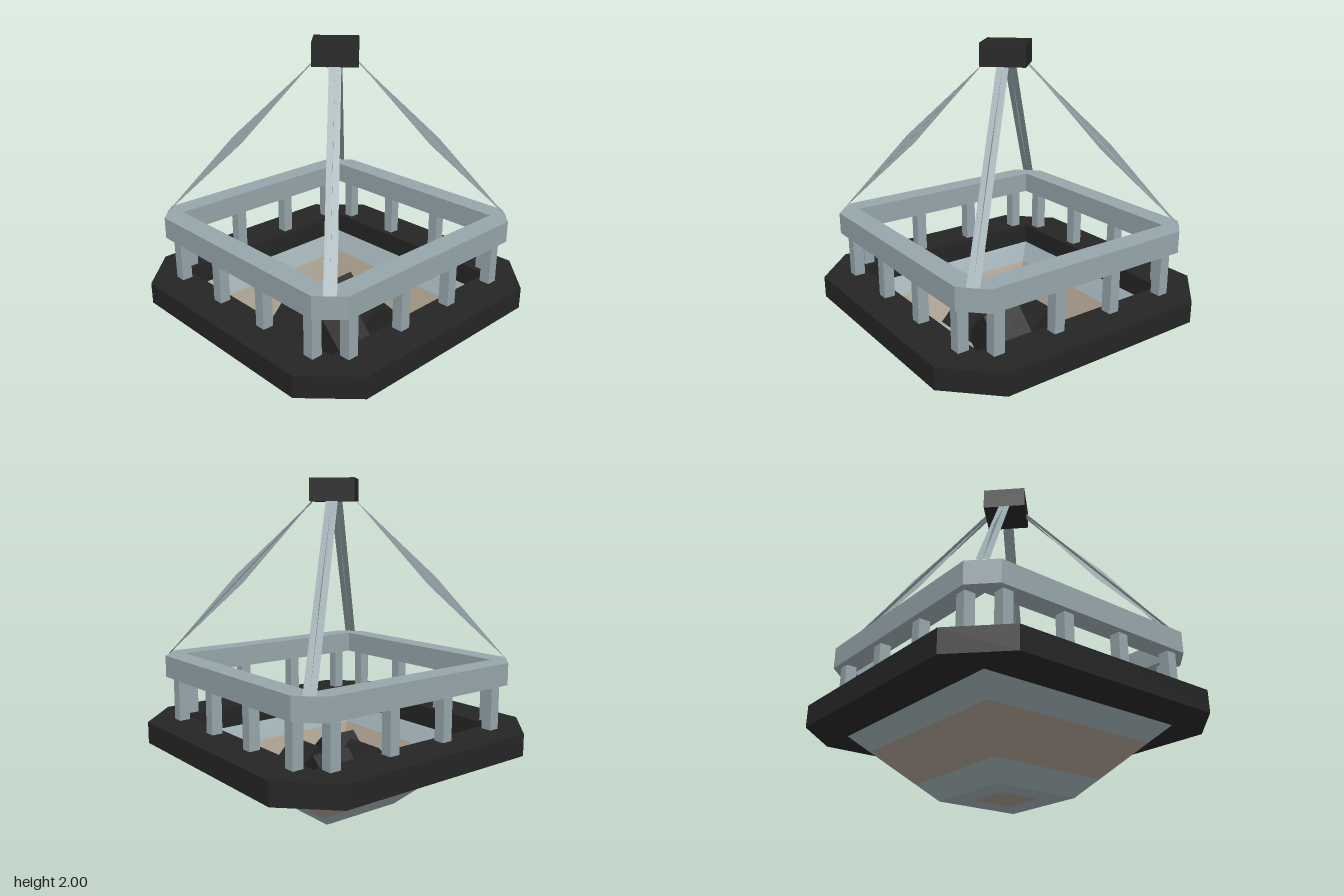
import * as THREE from 'three';

export function createModel() {
  const model = new THREE.Group();
  const mat = (name, color, extra = {}) => {
    const m = new THREE.MeshStandardMaterial({ color, ...extra });
    m.name = name;
    return m;
  };
  const iron = mat('blue grey iron', 0x95a5aa, { side: THREE.DoubleSide });
  const rust = mat('brown band', 0x9e9485, { side: THREE.DoubleSide });
  const black = mat('black', 0x252525);

  const add = (name, geo, material, parent = model) => {
    const mesh = new THREE.Mesh(geo, material);
    mesh.name = name;
    parent.add(mesh);
    return mesh;
  };

  // Octagonal frame with a square opening
  const frame = (outer, cut, inner, y, height) => {
    const corners = [];
    for (const [sx, sy] of [[1, 1], [-1, 1], [-1, -1], [1, -1]]) {
      const pair = [[sx * outer, sy * cut], [sx * cut, sy * outer]];
      if (sx * sy < 0) pair.reverse();
      corners.push(...pair);
    }
    const shape = new THREE.Shape(corners.map(([x, v]) => new THREE.Vector2(x, v)));
    const hole = [[inner, inner], [inner, -inner], [-inner, -inner], [-inner, inner]];
    shape.holes.push(new THREE.Path(hole.map(([x, v]) => new THREE.Vector2(x, v))));
    const geo = new THREE.ExtrudeGeometry(shape, { depth: height, bevelEnabled: false });
    return geo.rotateX(-Math.PI / 2).translate(0, y, 0);
  };
  add('rim', frame(0.933, 0.667, 0.667, 0.4, 0.133), black);
  add('rail', frame(0.8, 0.667, 0.667, 0.8, 0.133), iron);

  // Four-sided bowl made of coloured bands: half width and height of both edges
  const bowl = new THREE.Group();
  bowl.name = 'bowl';
  model.add(bowl);
  const bands = [
    ['floorCentre', rust, 0, 0, 0.125, 0],
    ['floorBorder', iron, 0.125, 0, 0.267, 0],
    ['lowerBand', iron, 0.267, 0, 0.367, 0.1],
    ['middleBand', rust, 0.367, 0.1, 0.567, 0.3],
    ['upperBand', iron, 0.567, 0.3, 0.667, 0.4],
  ];
  for (const [name, material, r0, y0, r1, y1] of bands) {
    const profile = [[r0, y0], [r1, y1]].map(([r, y]) => new THREE.Vector2(r * Math.SQRT2, y));
    const geo = new THREE.LatheGeometry(profile, 4, Math.PI / 4).toNonIndexed();
    geo.computeVertexNormals();
    add(name, geo, material, bowl);
  }

  // Posts, four along each side
  for (let side = 0; side < 4; side++) {
    const row = new THREE.Group();
    row.name = 'postRow';
    row.rotation.y = side * Math.PI / 2;
    model.add(row);
    for (const x of [-0.6, -0.2, 0.2, 0.6]) {
      add('post', new THREE.BoxGeometry(0.0667, 0.267, 0.0667), iron, row).position.set(x, 0.667, 0.733);
    }
  }

  // Hanging straps: a flat strip crossed by a slim diamond fin
  const low = new THREE.Vector2(1.04, 0.933), high = new THREE.Vector2(0.13, 1.87);
  const length = low.distanceTo(high);
  const fin = new THREE.Shape([[0, -length / 2], [0.032, 0], [0, length / 2], [-0.032, 0]]
    .map(([x, y]) => new THREE.Vector2(x, y)));
  for (let i = 0; i < 4; i++) {
    const corner = new THREE.Group();
    corner.name = 'strap';
    corner.rotation.y = Math.PI / 4 + i * Math.PI / 2;
    model.add(corner);
    const lean = new THREE.Group();
    lean.position.set(0, (low.y + high.y) / 2, (low.x + high.x) / 2);
    lean.rotation.x = -Math.atan2(low.x - high.x, high.y - low.y);
    corner.add(lean);
    add('strapStrip', new THREE.PlaneGeometry(0.07, length), iron, lean);
    add('strapFin', new THREE.ShapeGeometry(fin).rotateY(Math.PI / 2), iron, lean);
  }

  // Top block, turned a quarter corner
  const top = add('topBlock', new THREE.BoxGeometry(0.265, 0.133, 0.265), black);
  top.position.y = 1.9335;
  top.rotation.y = Math.PI / 4;

  // Coals: cubes standing on edge in a pinwheel
  for (const [sx, sz] of [[1, 1], [-1, 1], [-1, -1], [1, -1]]) {
    const coal = add('coal', new THREE.BoxGeometry(0.267, 0.267, 0.267), black);
    coal.position.set(sx * 0.133, 0.2, sz * 0.133);
    coal.rotation[sx * sz > 0 ? 'z' : 'x'] = Math.PI / 4;
  }

  return model;
}
